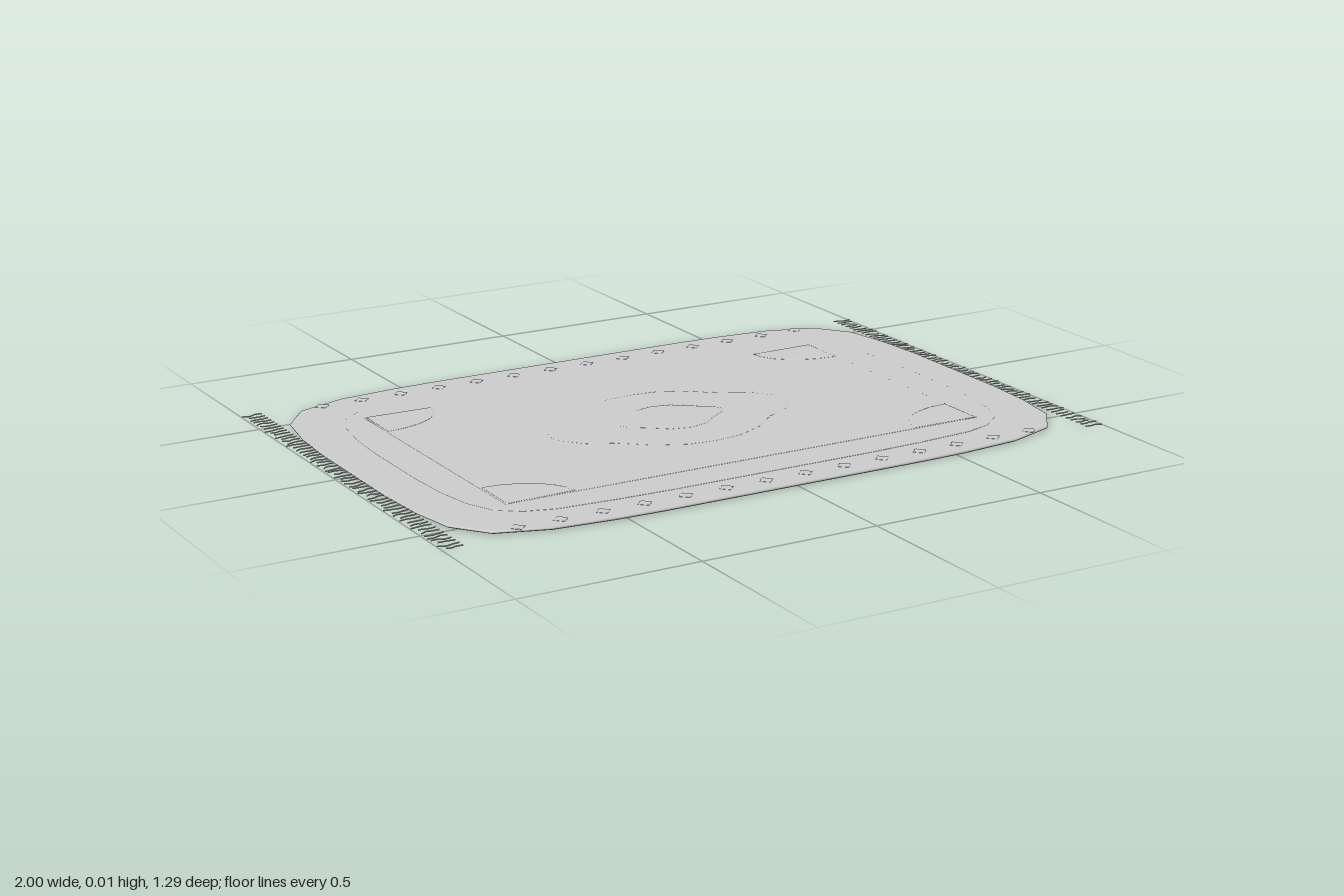
import * as THREE from 'three';

const material = new THREE.MeshStandardMaterial({ color: 0xcccccc, side: THREE.DoubleSide });

// Mirror a quarter outline (from the x axis to the z axis) into a full loop
function fullOutline(quarter) {
  const loop = [];
  for (const [sx, sz] of [[1, 1], [-1, 1], [-1, -1], [1, -1]]) {
    for (const [x, z] of quarter) {
      const p = [x * sx, z * sz];
      if (!loop.some(([a, b]) => Math.hypot(a - p[0], b - p[1]) < 1e-5)) loop.push(p);
    }
  }
  return loop;
}

// Thin soft-edged slab: rings of one outline, closed above and below
function slab(name, outline, cx, cz, y0, y1, inset = 0.985, crown = 0) {
  const pts = outline.map(([x, z]) => [x - cx, z - cz])
    .sort((a, b) => Math.atan2(a[1], a[0]) - Math.atan2(b[1], b[0]));
  const n = pts.length, h = y1 - y0;
  const rings = [
    [inset, y0], [1, y0 + h * 0.3], [1, y0 + h * 0.7], [inset, y1], [0.5, y1 + crown * 0.75],
  ];
  const pos = [], idx = [];
  for (const [s, y] of rings) for (const [x, z] of pts) pos.push(cx + x * s, y, cz + z * s);
  const bottom = pos.length / 3, top = bottom + 1;
  pos.push(cx, y0, cz, cx, y1 + crown, cz);
  const last = (rings.length - 1) * n;
  for (let i = 0; i < n; i++) {
    const j = (i + 1) % n;
    idx.push(bottom, i, j, top, last + j, last + i);
    for (let r = 0; r < last; r += n) idx.push(r + i, r + n + i, r + j, r + j, r + n + i, r + n + j);
  }
  const g = new THREE.BufferGeometry();
  g.setAttribute('position', new THREE.Float32BufferAttribute(pos, 3));
  g.setIndex(idx);
  g.computeVertexNormals();
  const mesh = new THREE.Mesh(g, material);
  mesh.name = name;
  return mesh;
}

export function createModel() {
  const rug = new THREE.Group();
  rug.name = 'rug';

  // Stacked layers: body, border, central field
  const body = fullOutline([[0.95, 0], [0.95, 0.2], [0.94, 0.35], [0.917, 0.483], [0.845, 0.578],
    [0.705, 0.625], [0.53, 0.641], [0.4, 0.645], [0, 0.645]]);
  const border = fullOutline([[0.83, 0], [0.83, 0.12], [0.823, 0.25], [0.805, 0.36], [0.77, 0.44],
    [0.71, 0.488], [0.63, 0.513], [0.46, 0.525], [0.3, 0.53], [0, 0.53]]);
  const field = fullOutline([[0.725, 0], [0.725, 0.21], [0.725, 0.42], [0.36, 0.42], [0, 0.42]]);
  rug.add(slab('rugBody', body, 0, 0, 0, 0.009, 0.995));
  rug.add(slab('innerBorder', border, 0, 0, 0.007, 0.0102, 0.997));
  rug.add(slab('centralField', field, 0, 0, 0.008, 0.0112, 0.997));

  // Central medallion and its smaller core
  const medallion = fullOutline([[0.37, 0], [0.36, 0.035], [0.315, 0.09], [0.24, 0.128],
    [0.165, 0.192], [0.08, 0.232], [0, 0.24]]);
  const core = fullOutline([[0.165, 0], [0.15, 0.025], [0.1, 0.06], [0.055, 0.097], [0, 0.11]]);
  rug.add(slab('medallion', medallion, 0, 0, 0.01, 0.0125, 0.98, 0.0005));
  rug.add(slab('medallionCore', core, 0, 0, 0.0115, 0.0142, 0.97, 0.0005));

  // Quarter-round ornaments in the field corners
  for (const sx of [-1, 1]) for (const sz of [-1, 1]) {
    const fan = [[0.72, 0.42], [0.72, 0.345]];
    for (let i = 0; i <= 6; i++) {
      const a = (i / 6) * Math.PI / 2;
      fan.push([0.72 - 0.195 * Math.sin(a), 0.415 - 0.14 * Math.cos(a)]);
    }
    const mirrored = fan.map(([x, z]) => [x * sx, z * sz]);
    rug.add(slab('cornerOrnament', mirrored, 0.65 * sx, 0.36 * sz, 0.01, 0.0125, 0.97, 0.0004));
  }

  // Rows of small diamonds on the long edges
  for (const z of [-0.585, 0.585]) {
    for (let i = 0; i < 14; i++) {
      const x = -0.777 + i * (1.554 / 13), r = 0.021;
      const diamond = [[x + r, z], [x, z + r], [x - r, z], [x, z - r]];
      rug.add(slab('borderDiamond', diamond, x, z, 0.008, 0.0104, 0.92));
    }
  }

  // Wavy fringe threads on the short ends
  let seed = 7;
  const rand = () => (seed = (seed * 16807) % 2147483647) / 2147483647 - 0.5;
  const threads = 58;
  for (const side of [-1, 1]) {
    const fringe = new THREE.Group();
    fringe.name = side > 0 ? 'leftFringe' : 'rightFringe';
    for (let i = 0; i < threads; i++) {
      const z = -0.62 + (1.24 * i) / (threads - 1);
      const end = i % 7 ? 0.992 + rand() * 0.012 : 1;
      const curve = new THREE.CatmullRomCurve3([
        new THREE.Vector3(side * 0.943, 0.004, z),
        new THREE.Vector3(side * 0.962, 0.0035, z + rand() * 0.008),
        new THREE.Vector3(side * 0.978, 0.003, z + rand() * 0.012),
        new THREE.Vector3(side * end, 0.0025, z + rand() * 0.014),
      ]);
      const thread = new THREE.Mesh(new THREE.TubeGeometry(curve, 6, 0.002, 5), material);
      thread.name = 'fringeThread';
      fringe.add(thread);
    }
    rug.add(fringe);
  }
  return rug;
}
